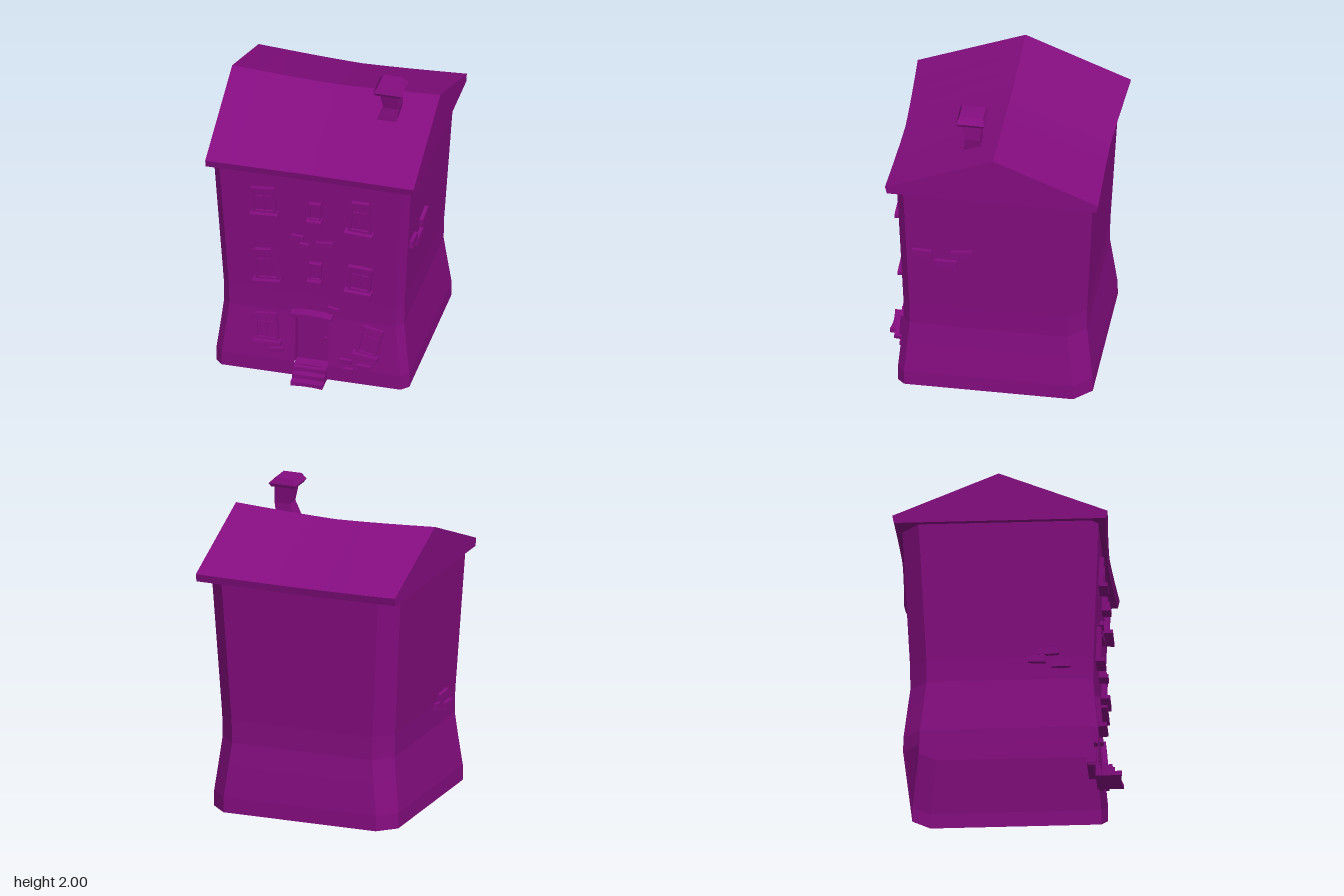
import * as THREE from 'three';

const mat = new THREE.MeshStandardMaterial({ color: 0x850d80, flatShading: true, side: THREE.DoubleSide });

// wall profile: y, right x, left x, front z, back z
const LEVELS = [
  [0, -.628, .618, .58, -.645], [.1, -.628, .618, .58, -.643], [.3, -.603, .594, .562, -.62],
  [.45, -.586, .577, .55, -.602], [.6, -.589, .58, .551, -.603], [1.53, -.645, .632, .585, -.65],
];
const DOOR = { x0: -.114, x1: .103, y0: .085, y1: .455 };

function wallAt(y) {
  let i = 0;
  while (i < LEVELS.length - 2 && y > LEVELS[i + 1][0]) i++;
  const a = LEVELS[i], b = LEVELS[i + 1], t = (y - a[0]) / (b[0] - a[0]);
  const [, xl, xr, zf, zb] = a.map((v, k) => THREE.MathUtils.lerp(v, b[k], t));
  return { xl, xr, zf, zb };
}

// skin a stack of closed rings, counter-clockwise seen from the last ring's outside
function loft(rings, caps = true, skip = () => false) {
  const pos = [], tri = (...p) => p.forEach(v => pos.push(...v));
  const n = rings[0].length;
  for (let i = 0; i < rings.length - 1; i++) {
    for (let j = 0; j < n; j++) {
      if (skip(i, j)) continue;
      const k = (j + 1) % n, r = rings[i], s = rings[i + 1];
      tri(r[j], r[k], s[k]);
      tri(r[j], s[k], s[j]);
    }
  }
  if (caps) {
    const a = rings[0], b = rings[rings.length - 1];
    for (let j = 1; j < n - 1; j++) {
      tri(a[0], a[j + 1], a[j]);
      tri(b[0], b[j], b[j + 1]);
    }
  }
  const g = new THREE.BufferGeometry();
  g.setAttribute('position', new THREE.Float32BufferAttribute(pos, 3));
  g.computeVertexNormals();
  return g;
}

function add(parent, name, geo, x = 0, y = 0, z = 0) {
  const m = new THREE.Mesh(geo, mat);
  m.name = name;
  m.position.set(x, y, z);
  parent.add(m);
  return m;
}
const box = (w, h, d) => new THREE.BoxGeometry(w, h, d);

// chamfered walls, open below, with a doorway left out of the front
function walls() {
  const ys = [0, DOOR.y0, .1, .2, .3, .38, .45, DOOR.y1, .6, .9, 1.2, 1.53];
  const f = .045, b = .108;
  const rings = ys.map(y => {
    const { xl, xr, zf, zb } = wallAt(y);
    return [[xl + f, zf], [DOOR.x0, zf], [DOOR.x1, zf], [xr - f, zf], [xr, zf - f], [xr, zb + b],
      [xr - b, zb], [xl + b, zb], [xl, zb + b], [xl, zf - f]].map(([x, z]) => [x, y, z]);
  });
  return loft(rings, false, (i, j) => j === 1 && ys[i] >= DOOR.y0 && ys[i] < DOOR.y1);
}

// gable roof whose ridge and eaves sag towards the middle
function roof() {
  const rings = [];
  for (let i = 0; i <= 8; i++) {
    const u = i / 4 - 1, s = 1 - Math.abs(u) ** 1.3;
    rings.push([[.635, 1.515], [-.693, 1.515], [-.705, 1.565], [-.037, 1.84], [.647, 1.565]].map(([z, y]) =>
      [u * .673, y - s * (y > 1.6 ? .03 : .015), z - s * .027 * Math.sign(z + .037)]));
  }
  return loft(rings);
}

// rectangular ring for the chimney
const rect = (y, x0, x1, z0, z1) => [[x0, y, z1], [x1, y, z1], [x1, y, z0], [x0, y, z0]];

// crooked window from its corners (top left, top right, bottom right, bottom left) and sill
function addWindow(parent, c, sill, panes) {
  const g = new THREE.Group();
  g.name = 'window';
  parent.add(g);
  const pts = c.map(p => new THREE.Vector2(...p));
  const mid = pts.reduce((s, p) => s.add(p), new THREE.Vector2()).divideScalar(4);
  const at = (u, v) => pts[0].clone().lerp(pts[1], u).lerp(pts[3].clone().lerp(pts[2], u), v);
  const inner = [[.12, .1], [.88, .1], [.88, .93], [.12, .93]].map(p => at(...p));
  // lean the window with the wall
  const zMid = wallAt(mid.y).zf;
  const lean = (wallAt(mid.y + .08).zf - wallAt(mid.y - .08).zf) / .16;
  g.position.set(0, mid.y, zMid);
  g.rotation.x = Math.atan(lean);
  const slab = (name, corners, z, d, hole) => {
    const shape = new THREE.Shape(corners);
    if (hole) shape.holes.push(new THREE.Path(hole));
    add(g, name, new THREE.ExtrudeGeometry(shape, { depth: d, bevelEnabled: false }), 0, -mid.y, z);
  };
  slab('windowFrame', pts, -.02, .048, inner);
  slab('windowPane', inner, -.015, .025);
  if (panes) {
    slab('windowTransom', [[.12, .34], [.88, .34], [.88, .39], [.12, .39]].map(p => at(...p)), 0, .018);
    slab('windowMullion', [[.47, .1], [.53, .1], [.53, .93], [.47, .93]].map(p => at(...p)), 0, .018);
  }
  const [x, y, w, rot] = sill;
  add(g, 'windowSill', box(w, .024, .08), x, y - mid.y, .018).rotation.z = rot;
}

export function createModel() {
  const house = new THREE.Group();
  house.name = 'house';
  add(house, 'walls', walls());
  add(house, 'roof', roof());

  // crooked chimney with a flared cap
  add(house, 'chimney', loft([
    rect(1.735, .32, .44, .075, .18), rect(1.755, .325, .447, .075, .18), rect(1.83, .358, .46, .08, .175),
    rect(1.95, .34, .452, .062, .2)]));
  add(house, 'chimneyCap', loft([
    rect(1.94, .318, .474, .058, .214), rect(1.962, .303, .487, .047, .226), rect(2, .33, .45, .06, .21)]));

  // recessed door
  const door = new THREE.Group();
  door.name = 'door';
  house.add(door);
  const { x0, x1, y0, y1 } = DOOR, dx = (x0 + x1) / 2, dy = (y0 + y1) / 2, w = x1 - x0, h = y1 - y0;
  add(door, 'doorLeaf', box(w, h, .02), dx, dy, .495);
  for (const x of [x0 - .004, x1 + .004]) add(door, 'doorJamb', box(.008, h, .06), x, dy, .517);
  add(door, 'doorHeader', box(w + .016, .008, .06), dx, y1 + .004, .517);
  add(door, 'threshold', box(w, .01, .085), dx, y0 - .005, .53);
  add(door, 'doorKnob', new THREE.SphereGeometry(.011, 8, 6), .07, .26, .51);

  // arched lintel over the door
  const lintel = box(.265, .028, .085, 1, 1, 1);
  const lintelShape = new THREE.Shape([[-.135, .455], [.13, .455], [.13, .473], [.06, .484], [-.065, .486], [-.135, .475]]
    .map(p => new THREE.Vector2(...p)));
  lintel.dispose();
  add(house, 'doorLintel', new THREE.ExtrudeGeometry(lintelShape, { depth: .085, bevelEnabled: false }), 0, 0, .53);

  // worn steps, hollowed in the middle
  [[.705, .03], [.66, .057], [.617, .085]].forEach(([z, top], i) => {
    const geo = new THREE.BoxGeometry(.205, .03, z - .54, 6, 1, 1), p = geo.attributes.position;
    for (let k = 0; k < p.count; k++) {
      const s = 1 - (p.getX(k) / .1025) ** 2;
      if (p.getZ(k) > 0) p.setZ(k, p.getZ(k) - .01 * s);
      if (p.getY(k) > 0) p.setY(k, p.getY(k) - .005 * s);
    }
    add(house, 'step' + (i + 1), geo, -.005, top - .015, (z + .54) / 2);
  });

  // windows: corners, sill [x, y, width, tilt], divided panes
  const windows = [
    [[[-.39, 1.38], [-.24, 1.395], [-.225, 1.21], [-.38, 1.2]], [-.303, 1.195, .18, .06], true],
    [[[-.015, 1.32], [.06, 1.32], [.06, 1.2], [-.015, 1.2]], [.02, 1.19, .096, 0], false],
    [[[.262, 1.375], [.374, 1.375], [.39, 1.15], [.236, 1.155]], [.308, 1.143, .186, -.05], true],
    [[[-.374, .907], [-.268, .923], [-.204, .7], [-.363, .684]], [-.29, .685, .18, .09], true],
    [[[-.018, .86], [.06, .86], [.06, .735], [-.018, .735]], [.02, .728, .09, 0], false],
    [[[.236, .88], [.39, .87], [.374, .69], [.231, .705]], [.298, .688, .175, -.06], true],
    [[[-.374, .42], [-.23, .435], [-.215, .245], [-.363, .245]], [-.285, .23, .18, .04], true],
    [[[.326, .435], [.459, .408], [.416, .223], [.284, .244]], [.348, .225, .165, -.14], true],
  ];
  windows.forEach(args => addWindow(house, ...args));

  // loose bricks on the front: x, y, width, tilt
  const frontBricks = [
    [-.095, 1.04, .08, -.04], [-.05, .982, .063, -.1], [.08, 1.013, .11, .09], [.133, .518, .07, -.18],
    [-.225, .175, .085, .14], [.22, .16, .075, -.05], [.237, .098, .063, 0], [.337, .135, .092, -.03],
  ];
  for (const [x, y, len, rot] of frontBricks)
    add(house, 'frontBrick', box(len, .027, .06), x, y, wallAt(y).zf - .008).rotation.z = rot;

  // loose bricks on both sides: side, z, y, length, tilt
  const sideBricks = [
    [1, .423, 1.035, .125, -.04], [1, .165, 1.05, .145, .13], [1, .273, .965, .145, 0],
    [-1, .2, .585, .11, .04], [-1, .27, .635, .13, -.06], [-1, .35, .55, .12, 0],
  ];
  for (const [side, z, y, len, rot] of sideBricks) {
    const { xl, xr } = wallAt(y), x = side > 0 ? xr - .005 : xl + .005;
    add(house, side > 0 ? 'leftBrick' : 'rightBrick', box(.06, .048, len), x, y, z).rotation.x = rot;
  }
  return house;
}
